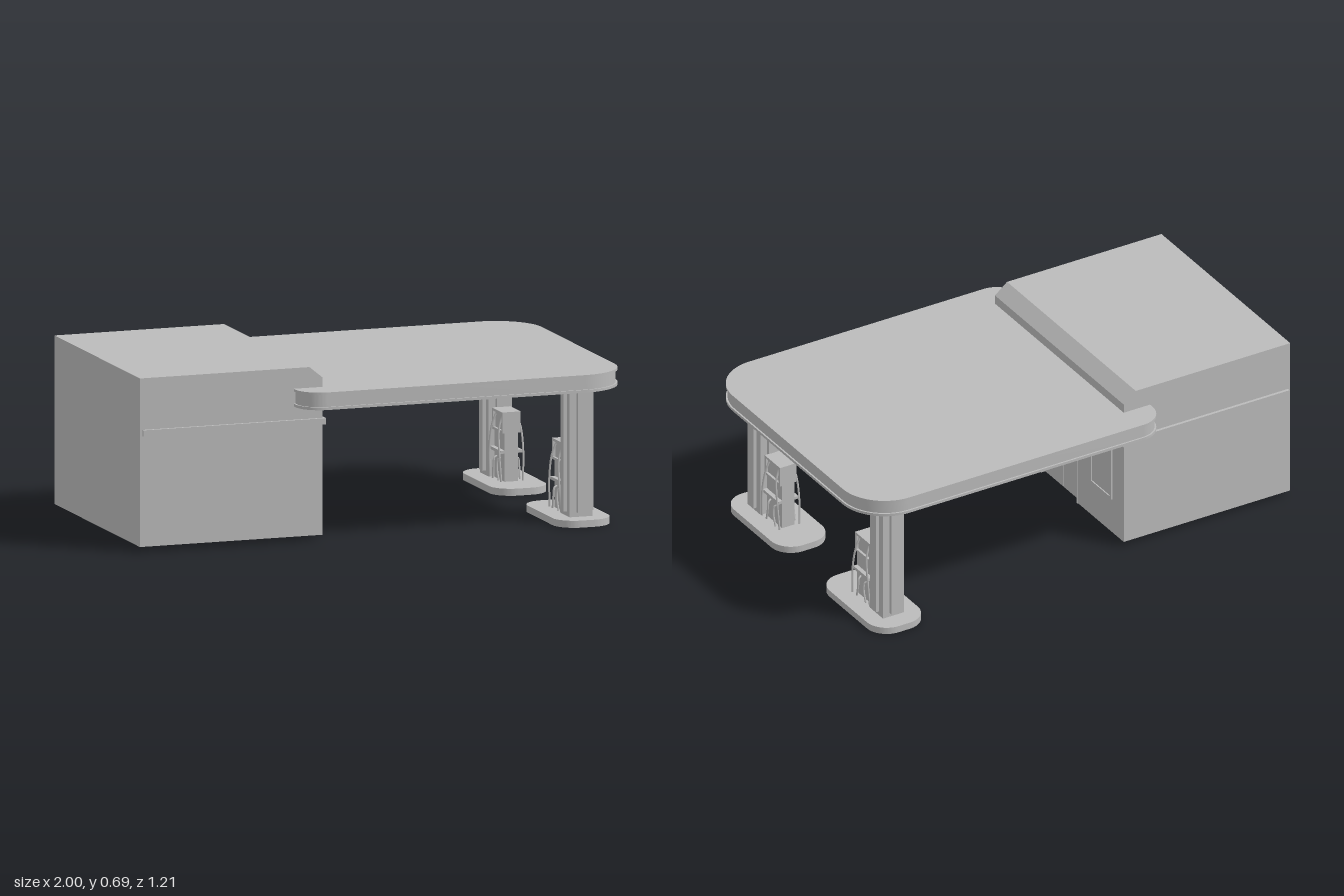
import * as THREE from 'three';
import { toCreasedNormals } from 'three/addons/utils/BufferGeometryUtils.js';

const plaster = new THREE.MeshStandardMaterial({ color: 0xbababa });
plaster.name = 'light grey';

function add(parent, name, geometry, x = 0, y = 0, z = 0) {
  const mesh = new THREE.Mesh(geometry, plaster);
  mesh.name = name;
  mesh.position.set(x, y, z);
  parent.add(mesh);
  return mesh;
}

// box given by its lower and upper corners
function block(parent, name, [x0, y0, z0], [x1, y1, z1]) {
  return add(parent, name, new THREE.BoxGeometry(x1 - x0, y1 - y0, z1 - z0),
    (x0 + x1) / 2, (y0 + y1) / 2, (z0 + z1) / 2);
}

// horizontal slab with rounded corners: r0 at the low-x end, r1 at the high-x end
function slab(x0, x1, halfZ, r0, r1, height) {
  const s = new THREE.Shape();
  s.moveTo(x0 + r0, -halfZ);
  s.lineTo(x1 - r1, -halfZ);
  s.absarc(x1 - r1, -halfZ + r1, r1, -Math.PI / 2, 0);
  s.lineTo(x1, halfZ - r1);
  s.absarc(x1 - r1, halfZ - r1, r1, 0, Math.PI / 2);
  s.lineTo(x0 + r0, halfZ);
  s.absarc(x0 + r0, halfZ - r0, r0, Math.PI / 2, Math.PI);
  s.lineTo(x0, -halfZ + r0);
  s.absarc(x0 + r0, -halfZ + r0, r0, Math.PI, Math.PI * 1.5);
  const g = new THREE.ExtrudeGeometry(s, { depth: height, bevelEnabled: false, curveSegments: 12 });
  return toCreasedNormals(g.rotateX(-Math.PI / 2), 0.6);
}

function rect(shape, x0, y0, x1, y1) {
  shape.moveTo(x0, y0);
  shape.lineTo(x1, y0);
  shape.lineTo(x1, y1);
  shape.lineTo(x0, y1);
  shape.closePath();
  return shape;
}

// upright frame in the yz plane, growing towards +x
function frame(width, height, border, depth) {
  const s = rect(new THREE.Shape(), -width / 2, -height / 2, width / 2, height / 2);
  s.holes.push(rect(new THREE.Path(), -width / 2 + border, -height / 2 + border,
    width / 2 - border, height / 2 - border));
  return new THREE.ExtrudeGeometry(s, { depth, bevelEnabled: false }).rotateY(Math.PI / 2);
}

function tube(points, radius) {
  const curve = new THREE.CatmullRomCurve3(points.map(p => new THREE.Vector3(...p)));
  return new THREE.TubeGeometry(curve, 16, radius, 6);
}

function makeBuilding() {
  const g = new THREE.Group();
  g.name = 'building';
  // side profile, with a notch for the doorway in the middle section
  const section = (name, z0, z1, notch) => {
    const pts = [[-1, 0.02], [-0.24, 0.02], [-0.24, 0.645], [-0.295, 0.69], [-1, 0.69]];
    if (notch) pts.splice(1, 1, [-0.265, 0.02], [-0.265, 0.352], [-0.24, 0.352]);
    const shape = new THREE.Shape(pts.map(p => new THREE.Vector2(...p)));
    add(g, name, new THREE.ExtrudeGeometry(shape, { depth: z1 - z0, bevelEnabled: false }), 0, 0, z0);
  };
  section('leftWall', 0.14, 0.486, false);
  section('doorSection', -0.14, 0.14, true);
  section('rightWall', -0.486, -0.14, false);
  block(g, 'wallTrim', [-0.99, 0.46, -0.498], [-0.23, 0.485, 0.498]);

  for (const s of [-1, 1]) {
    // windows
    add(g, 'windowFrame', frame(0.16, 0.23, 0.011, 0.007), -0.24, 0.285, s * 0.32);
    block(g, 'windowPane', [-0.241, 0.18, s * 0.32 - 0.07], [-0.238, 0.39, s * 0.32 + 0.07]);
    // doors
    const leaf = add(g, 'doorLeaf', new THREE.BoxGeometry(0.008, 0.322, 0.13), -0.261, 0.181, s * 0.067);
    leaf.name = s > 0 ? 'leftDoor' : 'rightDoor';
    add(g, 'doorHandle', new THREE.BoxGeometry(0.012, 0.045, 0.013), -0.252, 0.177, s * 0.011);
    block(g, 'doorJamb', [-0.262, 0.02, s * 0.138 - 0.004], [-0.237, 0.355, s * 0.138 + 0.004]);
  }
  block(g, 'doorLintel', [-0.262, 0.345, -0.142], [-0.237, 0.355, 0.142]);
  return g;
}

function makeCanopy() {
  const g = new THREE.Group();
  g.name = 'canopy';
  add(g, 'canopyLowerLip', slab(-0.36, 1, 0.605, 0.1, 0.19, 0.011), 0, 0.538, 0);
  add(g, 'canopyBand', slab(-0.353, 0.993, 0.598, 0.093, 0.183, 0.049), 0, 0.549, 0);
  add(g, 'canopyUpperLip', slab(-0.36, 1, 0.605, 0.1, 0.19, 0.01), 0, 0.598, 0);
  return g;
}

// island with column and pump, local z pointing away from the middle
function makeIsland(s) {
  const g = new THREE.Group();
  g.name = s > 0 ? 'leftIsland' : 'rightIsland';
  g.position.x = 0.826;
  add(g, 'islandBase', slab(-0.116, 0.116, 0.23, 0.09, 0.09, 0.028), 0, 0, s * 0.361);

  // column: square core with a rib on each side
  const cz = s * 0.462;
  block(g, 'columnCore', [-0.048, 0.028, cz - 0.049], [0.048, 0.54, cz + 0.049]);
  block(g, 'columnRibX', [-0.062, 0.046, cz - 0.019], [0.062, 0.536, cz + 0.019]);
  block(g, 'columnRibZ', [-0.019, 0.046, cz - 0.065], [0.019, 0.536, cz + 0.065]);

  // pump, the same on both faces
  const pump = new THREE.Group();
  pump.name = 'pump';
  pump.position.z = s * 0.341;
  g.add(pump);
  block(pump, 'pumpBody', [-0.028, 0.028, -0.058], [0.028, 0.304, 0.058]);
  for (const f of [-1, 1]) {
    const face = new THREE.Group();
    face.name = 'pumpFace';
    face.rotation.y = f > 0 ? 0 : Math.PI;
    pump.add(face);
    add(face, 'screenFrame', frame(0.116, 0.084, 0.01, 0.01), 0.028, 0.262, 0);
    add(face, 'shelf', new THREE.BoxGeometry(0.02, 0.012, 0.116), 0.036, 0.146, 0);
    for (const m of [-1, 1]) {
      add(face, 'hose', tube([[0.03, 0.285, m * 0.036], [0.045, 0.24, m * 0.041],
        [0.05, 0.15, m * 0.056], [0.045, 0.03, m * 0.066]], 0.004));
      add(face, 'nozzleHose', tube([[0.03, 0.118, m * 0.026], [0.042, 0.112, m * 0.021],
        [0.046, 0.08, m * 0.021], [0.044, 0.03, m * 0.034]], 0.004));
    }
  }
  return g;
}

export function createModel() {
  const model = new THREE.Group();
  model.name = 'fuelStation';
  model.add(makeBuilding(), makeCanopy(), makeIsland(1), makeIsland(-1));
  return model;
}
